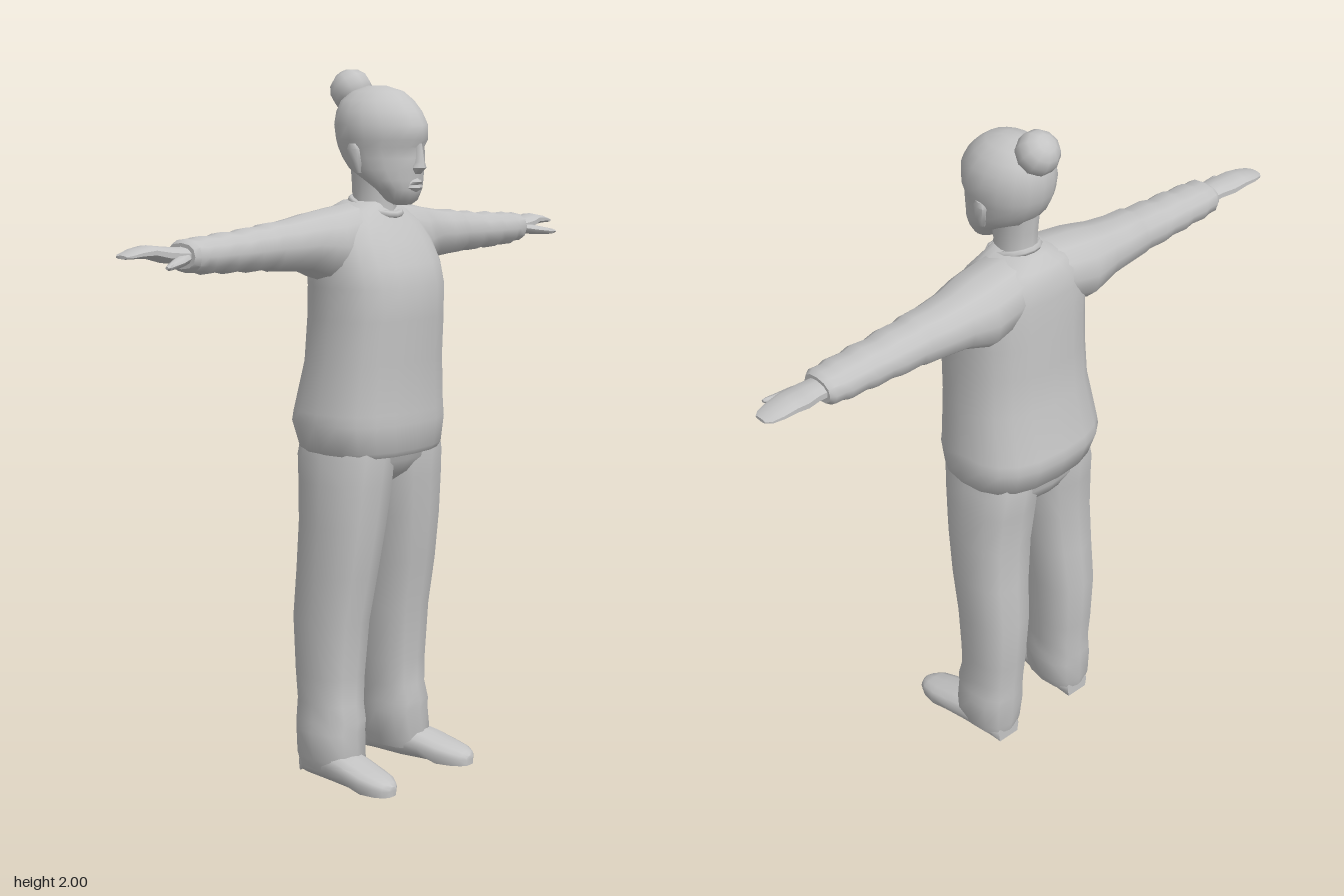
import * as THREE from 'three';
import { toCreasedNormals } from 'three/addons/utils/BufferGeometryUtils.js';

const clay = new THREE.MeshStandardMaterial({ color: 0xc4c4c4 });
clay.name = 'light grey';

// Loft along an axis. Section: [t, u0, u1, v0, v1], extents of a rounded box outline.
// axis x: u=y v=z, axis y: u=z v=x, axis z: u=x v=y.
function loft(axis, sections, { sides = 12, power = 2.4, mirror = false, rule } = {}) {
  const k = 'xyz'.indexOf(axis), pos = [], idx = [];
  const add = (t, u, v) => {
    const p = [0, 0, 0];
    p[k] = t; p[(k + 1) % 3] = u; p[(k + 2) % 3] = v;
    if (rule) rule(p);
    if (mirror) p[0] = -p[0];
    pos.push(...p);
  };
  const tri = (a, b, c) => (mirror ? idx.push(a, c, b) : idx.push(a, b, c));
  const round = (x) => Math.sign(x) * Math.abs(x) ** (2 / power);
  for (const [t, u0, u1, v0, v1] of sections)
    for (let j = 0; j < sides; j++) {
      const a = (j / sides) * Math.PI * 2;
      add(t, (u0 + u1) / 2 + round(Math.cos(a)) * (u1 - u0) / 2,
        (v0 + v1) / 2 + round(Math.sin(a)) * (v1 - v0) / 2);
    }
  const n = sections.length;
  for (let i = 0; i < n - 1; i++)
    for (let j = 0; j < sides; j++) {
      const a = i * sides + j, b = i * sides + (j + 1) % sides;
      tri(a, b, b + sides);
      tri(a, b + sides, a + sides);
    }
  for (const s of [sections[0], sections[n - 1]]) add(s[0], (s[1] + s[2]) / 2, (s[3] + s[4]) / 2);
  const last = (n - 1) * sides;
  for (let j = 0; j < sides; j++) {
    const m = (j + 1) % sides;
    tri(n * sides, m, j);
    tri(n * sides + 1, last + j, last + m);
  }
  const g = new THREE.BufferGeometry();
  g.setAttribute('position', new THREE.Float32BufferAttribute(pos, 3));
  g.setIndex(idx);
  return toCreasedNormals(g, 0.85);
}

export function createModel() {
  const model = new THREE.Group();
  model.name = 'standingPerson';
  const part = (name, geometry) => {
    const m = new THREE.Mesh(geometry, clay);
    m.name = name;
    model.add(m);
    return m;
  };
  // upright section: y, back z, front z, half width
  const upright = (rows) => rows.map(([y, b, f, w]) => [y, b, f, -w, w]);

  // sweater body with a hem band
  part('sweater', loft('y', upright([
    [0.94, -0.165, 0.14, 0.2], [0.955, -0.185, 0.15, 0.213], [1.03, -0.21, 0.157, 0.226],
    [1.06, -0.205, 0.155, 0.222], [1.2, -0.168, 0.155, 0.207], [1.32, -0.163, 0.165, 0.2],
    [1.41, -0.16, 0.165, 0.2], [1.47, -0.157, 0.147, 0.2], [1.53, -0.153, 0.115, 0.19],
    [1.58, -0.147, 0.085, 0.165], [1.615, -0.13, 0.06, 0.115], [1.64, -0.1, 0.045, 0.06],
  ]), { sides: 20, power: 2.5 }));
  const collar = part('collar', new THREE.TorusGeometry(0.062, 0.01, 6, 16));
  collar.rotation.x = Math.PI / 2 + 0.3;
  collar.position.set(0, 1.626, 0);
  collar.scale.set(1, 1.2, 1);

  // neck and head
  part('neck', loft('y', upright([
    [1.58, -0.085, 0.065, 0.062], [1.64, -0.072, 0.06, 0.052], [1.7, -0.075, 0.07, 0.055],
    [1.76, -0.08, 0.07, 0.06],
  ]), { power: 2 }));
  part('head', loft('y', upright([
    [1.633, 0.075, 0.12, 0.03], [1.645, 0.055, 0.137, 0.052], [1.675, 0.03, 0.148, 0.075],
    [1.7, -0.01, 0.15, 0.09], [1.73, -0.065, 0.155, 0.1], [1.76, -0.09, 0.158, 0.106],
    [1.79, -0.105, 0.155, 0.111], [1.81, -0.111, 0.17, 0.116], [1.85, -0.117, 0.168, 0.118],
    [1.885, -0.112, 0.146, 0.108], [1.915, -0.1, 0.118, 0.09], [1.94, -0.07, 0.085, 0.06],
    [1.955, -0.025, 0.035, 0.02],
  ]), {
    sides: 18, power: 2.1,
    rule: (p) => { p[0] *= 1 - 0.3 * Math.max(0, (p[2] - 0.06) / 0.11); }, // narrower face
  }));
  part('nose', loft('y', upright([
    [1.718, 0.13, 0.158, 0.014], [1.735, 0.13, 0.176, 0.022], [1.75, 0.13, 0.174, 0.015],
    [1.8, 0.13, 0.165, 0.009],
  ]), { sides: 8, power: 2 }));
  part('mouth', loft('y', upright([
    [1.668, 0.11, 0.146, 0.02], [1.68, 0.11, 0.155, 0.034], [1.688, 0.11, 0.15, 0.036],
    [1.696, 0.11, 0.157, 0.03], [1.708, 0.11, 0.15, 0.015],
  ]), { sides: 8, power: 2 }));

  // hair bun leaning back from the crown
  const bun = part('hairBun', new THREE.SphereGeometry(0.06, 10, 7));
  bun.position.set(0, 1.942, -0.09);
  bun.scale.set(1, 0.97, 1.02);
  bun.rotation.x = -0.7;

  // trousers seat between the legs and under the sweater
  part('trouserSeat', loft('y', upright([
    [0.85, -0.1, 0.05, 0.06], [0.88, -0.145, 0.09, 0.15], [0.92, -0.163, 0.118, 0.198],
    [1.0, -0.17, 0.13, 0.2],
  ]), { sides: 16 }));

  for (const [side, mirror] of [['left', false], ['right', true]]) {
    const limb = (name, axis, rows, opts) => part(side + name, loft(axis, rows, { mirror, ...opts }));

    // sleeve with soft wrinkles: x, y range, z range
    limb('Sleeve', 'x', [
      [0.03, 1.48, 1.64, -0.125, 0.05], [0.1, 1.45, 1.632, -0.145, 0.065],
      [0.18, 1.425, 1.622, -0.148, 0.062], [0.215, 1.44, 1.617, -0.145, 0.05],
      [0.26, 1.457, 1.608, -0.138, 0.036], [0.33, 1.463, 1.598, -0.13, 0.029],
      [0.39, 1.466, 1.596, -0.124, 0.026], [0.41, 1.472, 1.588, -0.12, 0.022],
      [0.47, 1.469, 1.588, -0.12, 0.024], [0.51, 1.476, 1.578, -0.114, 0.019],
      [0.56, 1.472, 1.582, -0.115, 0.022], [0.59, 1.479, 1.574, -0.11, 0.017],
      [0.64, 1.476, 1.576, -0.112, 0.02], [0.66, 1.483, 1.57, -0.107, 0.014],
      [0.69, 1.484, 1.572, -0.107, 0.014], [0.705, 1.495, 1.562, -0.098, 0.004],
    ], { sides: 12, power: 2.3 });

    // hand with joined fingers, and a lower thumb pointing forward
    limb('Hand', 'x', [
      [0.68, 1.505, 1.552, -0.088, -0.008], [0.73, 1.51, 1.553, -0.09, -0.008],
      [0.77, 1.515, 1.557, -0.102, -0.012], [0.81, 1.527, 1.562, -0.108, -0.022],
      [0.85, 1.53, 1.555, -0.107, -0.028], [0.88, 1.53, 1.546, -0.098, -0.034],
      [0.893, 1.532, 1.541, -0.085, -0.045],
    ], { sides: 10, power: 2.2 });
    limb('Thumb', 'x', [
      [0.71, 1.508, 1.54, -0.05, -0.005], [0.75, 1.503, 1.532, -0.03, 0.012],
      [0.79, 1.502, 1.523, -0.005, 0.022], [0.812, 1.502, 1.518, 0.01, 0.028],
      [0.822, 1.506, 1.514, 0.018, 0.028],
    ], { sides: 8, power: 2 });

    // ear
    limb('Ear', 'y', [
      [1.72, 0.01, 0.03, 0.085, 0.102], [1.745, -0.002, 0.036, 0.09, 0.113],
      [1.785, -0.012, 0.036, 0.095, 0.119], [1.8, -0.003, 0.025, 0.1, 0.116],
    ], { sides: 8, power: 2 });

    // trouser leg: y, z range, x range
    limb('TrouserLeg', 'y', [
      [0.03, -0.14, 0.05, 0.078, 0.213], [0.06, -0.147, 0.06, 0.068, 0.222],
      [0.14, -0.15, 0.05, 0.056, 0.226], [0.17, -0.152, 0.055, 0.06, 0.22],
      [0.22, -0.15, 0.043, 0.057, 0.216], [0.3, -0.158, 0.045, 0.053, 0.217],
      [0.46, -0.166, 0.058, 0.043, 0.221], [0.6, -0.155, 0.083, 0.032, 0.222],
      [0.74, -0.15, 0.103, 0.016, 0.22], [0.86, -0.157, 0.115, 0.0, 0.217],
      [0.93, -0.165, 0.122, 0.0, 0.21], [0.98, -0.16, 0.12, 0.0, 0.2],
    ], { sides: 12, power: 2.5 });

    // shoe with a flat sole
    limb('Shoe', 'z', [
      [-0.135, 0.105, 0.185, 0, 0.06], [-0.11, 0.09, 0.2, 0, 0.08],
      [0.0, 0.088, 0.218, 0, 0.09], [0.07, 0.1, 0.228, 0, 0.075],
      [0.13, 0.11, 0.229, 0, 0.058], [0.175, 0.124, 0.222, 0, 0.048],
      [0.2, 0.142, 0.208, 0, 0.038], [0.212, 0.16, 0.19, 0.005, 0.028],
    ], {
      power: 2.4,
      rule: (p) => { if (p[1] < 0.014) p[1] = 0; },
    });
  }
  return model;
}
